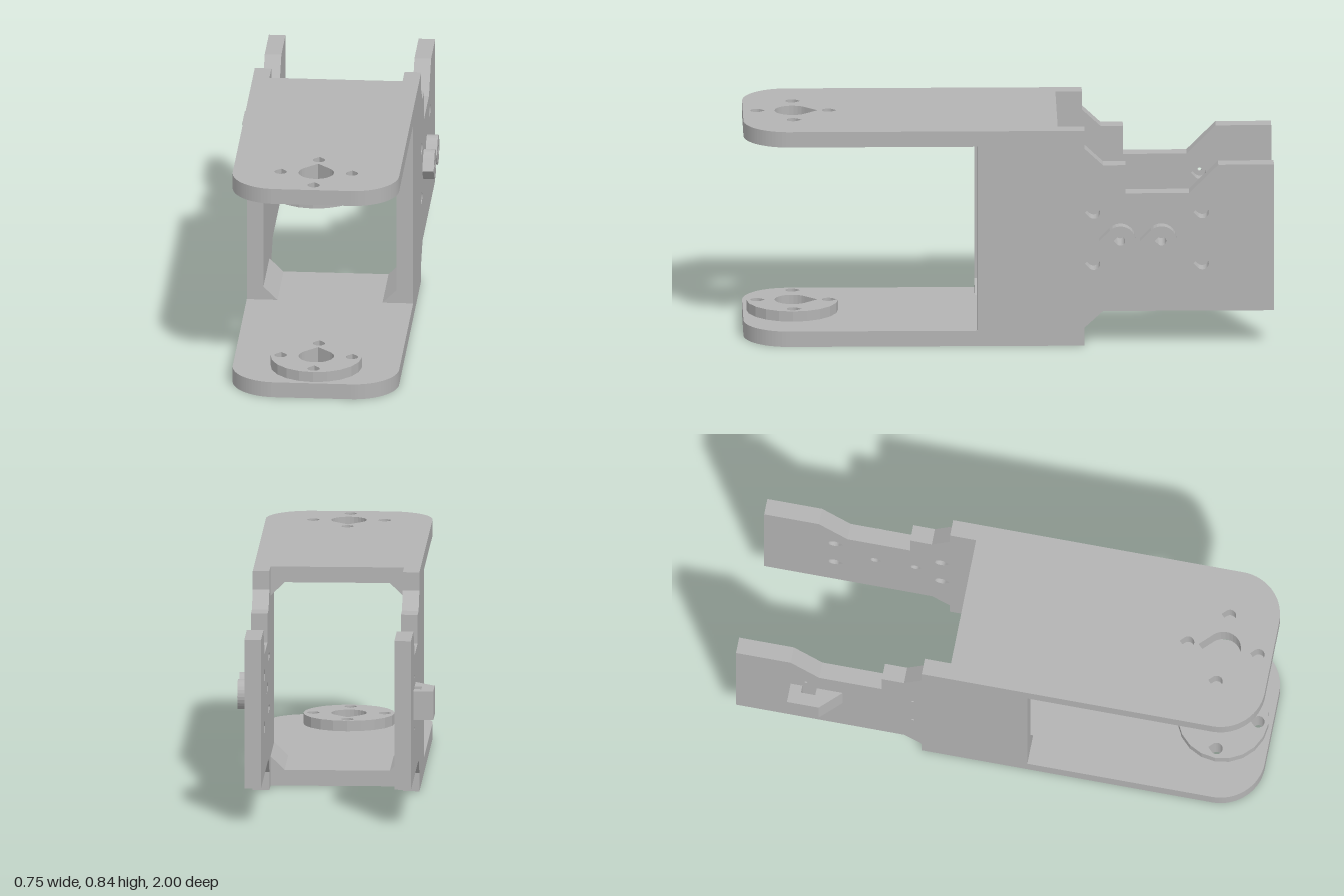
import * as THREE from 'three';

const CX = 0.015;                 // centre line of the bracket
const X0 = -0.30, X1 = 0.33;      // outer wall faces
const WALL = 0.063, PLATE = 0.06, HEIGHT = 0.84;
const PIVOT_Z = 0.813;

// Trace a teardrop: a circle with a pointed 90 degree tip towards angle "tip"
function teardrop(path, x, y, r, tip) {
  const n = 20, a0 = tip + Math.PI / 4, sweep = Math.PI * 1.5;
  path.moveTo(x + Math.cos(tip) * r * Math.SQRT2, y + Math.sin(tip) * r * Math.SQRT2);
  for (let i = 0; i <= n; i++) {
    const a = a0 + sweep * i / n;
    path.lineTo(x + Math.cos(a) * r, y + Math.sin(a) * r);
  }
  path.closePath();
  return path;
}

const polygon = (pts) => new THREE.Shape(pts.map(([x, y]) => new THREE.Vector2(x, y)));
const extrude = (shape, depth) =>
  new THREE.ExtrudeGeometry(shape, { depth, bevelEnabled: false, curveSegments: 10 });

export function createModel() {
  const group = new THREE.Group();
  const grey = new THREE.MeshStandardMaterial({ color: 0xb3b3b3 });
  grey.name = 'plain grey';

  const add = (name, geometry) => {
    const mesh = new THREE.Mesh(geometry, grey);
    mesh.name = name;
    group.add(mesh);
  };
  // Horizontal slab: shape coordinates are (x, -z), thickness runs up from y
  const slab = (name, shape, y, h) =>
    add(name, extrude(shape, h).rotateX(-Math.PI / 2).translate(0, y, 0));
  // Upright slab: shape coordinates are (-z, y), thickness runs along +x
  const upright = (name, shape, x, t) =>
    add(name, extrude(shape, t).rotateY(Math.PI / 2).translate(x, 0, 0));

  const pivotHole = (shape) =>
    shape.holes.push(teardrop(new THREE.Path(), CX, -PIVOT_Z, 0.067, Math.PI / 2));
  const screwHoles = (shape) => {
    for (const [dx, dz] of [[0.135, 0], [-0.135, 0], [0, 0.135], [0, -0.135]])
      shape.holes.push(teardrop(new THREE.Path(), CX + dx, -PIVOT_Z - dz, 0.023, Math.PI / 2));
  };

  // Fork plates with rounded front corners, fitted between the walls at the back
  const armShape = () => {
    const R = 0.17, s = new THREE.Shape();
    s.moveTo(X0, -0.12);
    s.lineTo(X0, -1 + R);
    s.absarc(X0 + R, -1 + R, R, Math.PI, Math.PI * 1.5, false);
    s.lineTo(X1 - R, -1);
    s.absarc(X1 - R, -1 + R, R, -Math.PI / 2, 0, false);
    s.lineTo(X1, -0.12);
    s.lineTo(X1 - WALL, -0.12);
    s.lineTo(X1 - WALL, 0.185);
    s.lineTo(X0 + WALL, 0.185);
    s.lineTo(X0 + WALL, -0.12);
    s.closePath();
    pivotHole(s);
    screwHoles(s);
    return s;
  };
  slab('bottomPlate', armShape(), 0, PLATE);
  slab('topPlate', armShape(), HEIGHT - PLATE, PLATE);

  // Round pivot pads on the inner plate faces; only the lower has screw holes
  const padShape = () => {
    const s = new THREE.Shape();
    s.absarc(CX, -PIVOT_Z, 0.173, 0, Math.PI * 2, false);
    pivotHole(s);
    return s;
  };
  const lowerPad = padShape();
  screwHoles(lowerPad);
  slab('bottomPivotPad', lowerPad, PLATE, 0.04);
  slab('topPivotPad', padShape(), 0.76, 0.02);

  // Side walls with a notched outline; bossHoles are the two extra bores
  const bossZ = [-0.42, -0.575], bossY = 0.42;
  const wallShape = (holeRadius, bossHoles) => {
    const s = polygon([
      [-0.12, 0], [0.285, 0], [0.285, 0.07], [0.355, 0.135], [1, 0.135],
      [1, 0.705], [0.79, 0.705], [0.68, 0.595], [0.44, 0.595], [0.44, 0.705],
      [0.355, 0.705], [0.285, 0.77], [0.285, HEIGHT], [-0.12, HEIGHT],
    ]);
    for (const z of [-0.32, -0.73]) for (const y of [0.32, 0.52])
      s.holes.push(teardrop(new THREE.Path(), -z, y, holeRadius, Math.PI));
    if (bossHoles) for (const z of bossZ)
      s.holes.push(teardrop(new THREE.Path(), -z, bossY, 0.018, Math.PI));
    return s;
  };
  upright('leftWall', wallShape(0.024, true), X1 - WALL, WALL);
  // The right wall has wide bores inside and pin holes outside
  upright('rightWallOuterSkin', wallShape(0.007, false), X0, 0.015);
  upright('rightWallInner', wallShape(0.024, false), X0 + 0.015, WALL - 0.015);

  // Teardrop bosses on the left wall
  for (const z of bossZ) {
    const s = teardrop(new THREE.Shape(), -z, bossY, 0.057, Math.PI);
    s.holes.push(teardrop(new THREE.Path(), -z, bossY, 0.018, Math.PI));
    upright('cableBoss', s, X1, 0.043);
  }

  // Hook block on the right wall, with an upright slot against the wall
  slab('slottedBlock', polygon([
    [X0, 0.59], [X0, 0.69], [-0.328, 0.69], [-0.328, 0.745], [X0, 0.745],
    [X0, 0.79], [-0.375, 0.79], [-0.375, 0.668],
  ]), 0.365, 0.11);

  // Triangular gussets in the four inside corners
  for (const [x, dx] of [[X0 + WALL, 0.053], [X1 - WALL, -0.053]])
    for (const [y, dy] of [[PLATE, 0.052], [HEIGHT - PLATE, -0.052]])
      add('cornerGusset',
        extrude(polygon([[x, y], [x + dx, y], [x, y + dy]]), 0.305).translate(0, 0, -0.185));

  return group;
}
